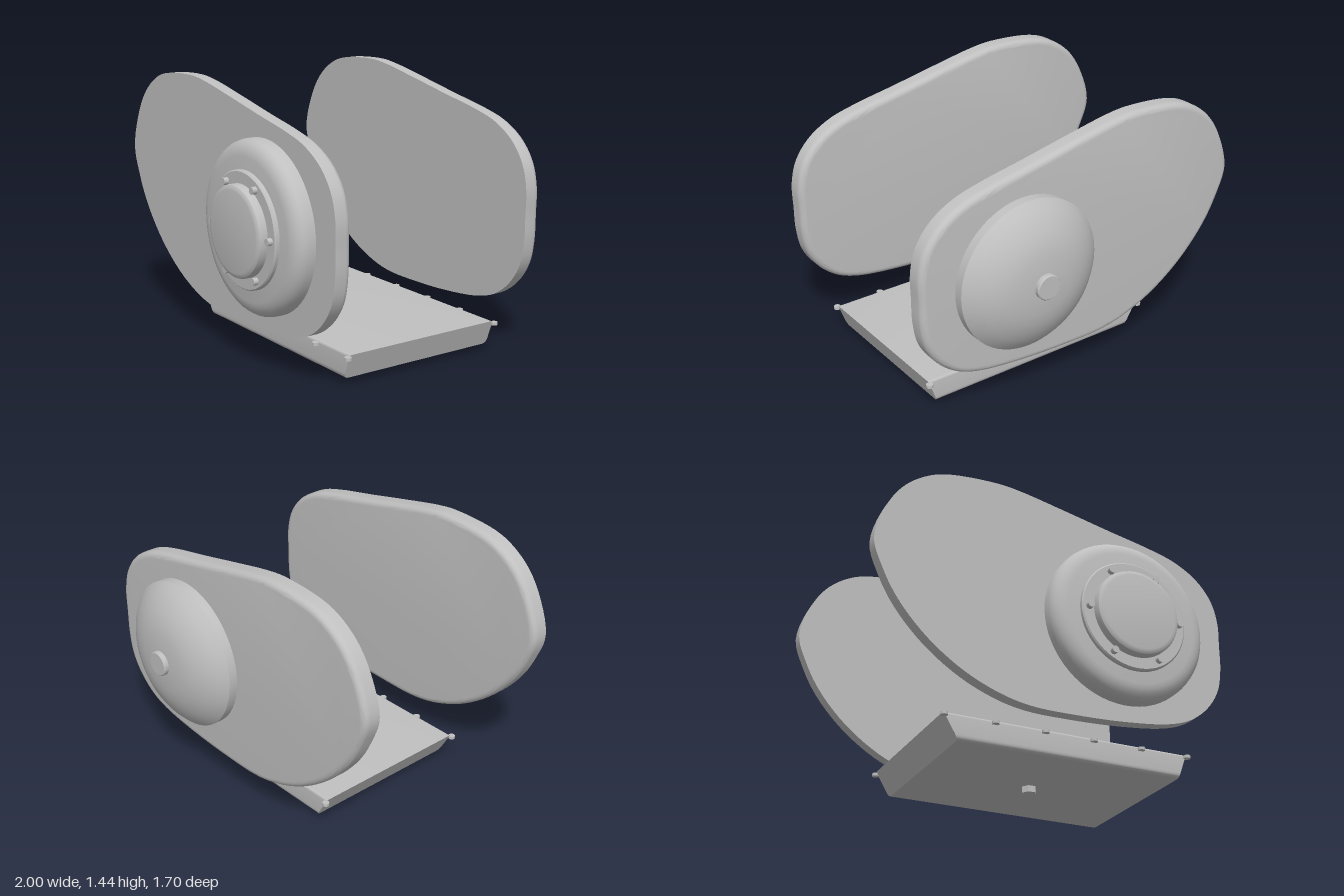
import * as THREE from 'three';
import { toCreasedNormals } from 'three/addons/utils/BufferGeometryUtils.js';

const metal = new THREE.MeshStandardMaterial({ color: 0xc0c0c0 });
metal.name = 'grey metal';

const HUB = [0.39, 0.754];

function add(parent, name, geometry, x = 0, y = 0, z = 0) {
  const mesh = new THREE.Mesh(geometry, metal);
  mesh.name = name;
  mesh.position.set(x, y, z);
  parent.add(mesh);
  return mesh;
}

// Case outline, counter-clockwise seen from the front
const outline = [
  [-1, 0.95], [-0.95, 0.79], [-0.86, 0.63], [-0.7, 0.455], [-0.5, 0.315], [-0.3, 0.232],
  [-0.14, 0.2], [0.1, 0.196], [0.4, 0.21], [0.66, 0.245], [0.79, 0.292], [0.9, 0.38],
  [0.97, 0.49], [0.997, 0.62], [1, 0.76], [1, 0.9], [0.965, 1.03], [0.88, 1.14],
  [0.75, 1.22], [0.6, 1.265], [0.33, 1.32], [0.07, 1.375], [-0.2, 1.428], [-0.33, 1.44],
  [-0.6, 1.42], [-0.72, 1.38], [-0.84, 1.295], [-0.93, 1.17],
].map(([x, y]) => new THREE.Vector3(x, y, 0));

// Flat plate whose rear edge is rounded and front edge is square
function plateGeometry(thickness, radius) {
  const curve = new THREE.CatmullRomCurve3(outline, true, 'centripetal');
  const n = 140, steps = 6;
  const rings = [];
  for (let s = 0; s <= steps; s++) {
    const a = (s / steps) * Math.PI / 2;
    rings.push([radius * (1 - Math.sin(a)), radius * (1 - Math.cos(a))]);
  }
  rings.push([0, thickness]);
  const positions = [], index = [], contour = [];
  rings.forEach(([inset, z], k) => {
    for (let i = 0; i < n; i++) {
      const p = curve.getPoint(i / n), t = curve.getTangent(i / n);
      positions.push(p.x - t.y * inset, p.y + t.x * inset, z);
      if (k === 0) contour.push(new THREE.Vector2(p.x, p.y));
      if (k === rings.length - 1) continue;
      const j = (i + 1) % n, a = k * n + i, b = k * n + j;
      index.push(a, b, b + n, a, b + n, a + n);
    }
  });
  const last = (rings.length - 1) * n;
  for (const [a, b, c] of THREE.ShapeUtils.triangulateShape(contour, [])) {
    index.push(a, c, b, last + a, last + b, last + c);
  }
  const geometry = new THREE.BufferGeometry();
  geometry.setAttribute('position', new THREE.Float32BufferAttribute(positions, 3));
  geometry.setIndex(index);
  return toCreasedNormals(geometry, 0.6);
}

// Turned part along z; the profile is [radius, distance along the axis]
function turned(profile, direction = 1) {
  const points = profile.map(([r, d]) => new THREE.Vector2(r, d));
  const geometry = new THREE.LatheGeometry(points, 64);
  geometry.rotateX(direction * Math.PI / 2);
  return toCreasedNormals(geometry, 0.6);
}

// Tray: rounded section along x with sloping ends
function trayGeometry() {
  const z0 = -0.46, z1 = 0.48, y0 = 0.035, y1 = 0.172, r = 0.03, t = 0.012;
  const s = new THREE.Shape();
  s.moveTo(z0 + r, y0);
  s.lineTo(z1 - r, y0);
  s.quadraticCurveTo(z1, y0, z1, y0 + r);
  s.lineTo(z1, y1 - t);
  s.quadraticCurveTo(z1, y1, z1 - t, y1);
  s.lineTo(z0 + t, y1);
  s.quadraticCurveTo(z0, y1, z0, y1 - t);
  s.lineTo(z0, y0 + r);
  s.quadraticCurveTo(z0, y0, z0 + r, y0);
  const geometry = new THREE.ExtrudeGeometry(s, { depth: 1, bevelEnabled: false, curveSegments: 6 });
  const p = geometry.attributes.position;
  for (let i = 0; i < p.count; i++) {
    const z = p.getX(i), y = p.getY(i), h = (y - y0) / (y1 - y0);
    // section runs over z, mirrored about its middle to keep the winding
    const x = p.getZ(i) < 0.5 ? -0.455 - 0.08 * h : 0.815 + 0.05 * h;
    p.setXYZ(i, x, y, z0 + z1 - z);
  }
  return toCreasedNormals(geometry, 0.6);
}

export function createModel() {
  const model = new THREE.Group();
  model.name = 'engineCovers';

  // Two matching side plates
  const plate = plateGeometry(0.095, 0.035);
  add(model, 'frontPlate', plate, 0, 0, 0.57);
  add(model, 'backPlate', plate, 0, 0, -0.637);

  // Front hub: rounded drum, ring and cap
  const hub = new THREE.Group();
  hub.name = 'frontHub';
  hub.position.set(HUB[0], HUB[1], 0);
  model.add(hub);
  add(hub, 'hubDrum', turned([
    [0.453, 0.66], [0.453, 0.705], [0.448, 0.727], [0.436, 0.746], [0.418, 0.76],
    [0.396, 0.77], [0.37, 0.775], [0, 0.775],
  ]));
  add(hub, 'hubRing', turned([[0.305, 0.77], [0.305, 0.793], [0.298, 0.8], [0, 0.8]]));
  add(hub, 'hubCap', turned([
    [0.238, 0.795], [0.238, 0.832], [0.234, 0.843], [0.224, 0.85], [0.21, 0.853], [0, 0.853],
  ]));
  const hubBolt = new THREE.CylinderGeometry(0.019, 0.019, 0.03, 16).rotateX(Math.PI / 2);
  for (let i = 0; i < 6; i++) {
    const a = i * Math.PI / 3;
    add(hub, 'hubBolt', hubBolt, 0.265 * Math.cos(a), 0.265 * Math.sin(a), 0.811);
  }

  // Back dome with a small central knob
  const dome = new THREE.Group();
  dome.name = 'backDome';
  dome.position.set(HUB[0], HUB[1], 0);
  model.add(dome);
  add(dome, 'domeShell', turned([
    [0.415, 0.63], [0.415, 0.688], [0.375, 0.727], [0.33, 0.758], [0.28, 0.784],
    [0.225, 0.805], [0.16, 0.818], [0.08, 0.825], [0, 0.827],
  ], -1));
  add(dome, 'domeKnob', turned([[0.069, 0.81], [0.069, 0.846], [0.063, 0.852], [0, 0.852]], -1));

  // Tray with a row of bolts along each long side
  add(model, 'tray', trayGeometry());
  const trayBolt = new THREE.CylinderGeometry(0.019, 0.019, 0.016, 16);
  for (const z of [-0.47, 0.49]) {
    for (let i = 0; i < 6; i++) add(model, 'trayBolt', trayBolt, -0.535 + i * 0.28, 0.157, z);
  }

  // Hexagonal drain plug
  const plug = new THREE.CylinderGeometry(0.041, 0.041, 0.04, 6).rotateY(Math.PI / 6);
  add(model, 'drainPlug', toCreasedNormals(plug, 0.3), 0.165, 0.02, 0.011);

  return model;
}
